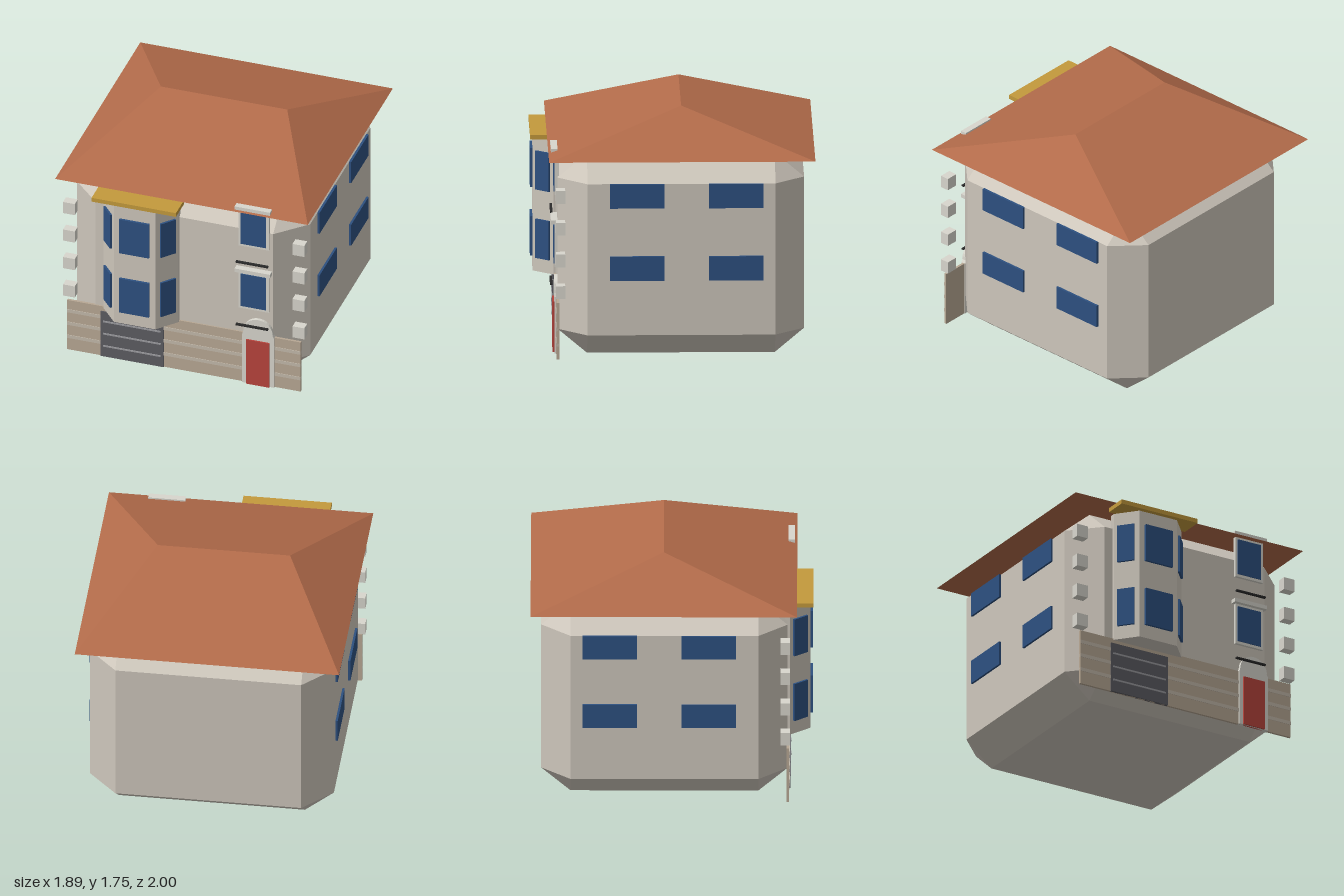
import * as THREE from 'three';
import { ConvexGeometry } from 'three/addons/geometries/ConvexGeometry.js';

const mat = (color) => new THREE.MeshStandardMaterial({ color });
const M = {
  wall: mat(0xcdc6bb), roof: mat(0xb26b4a), glass: mat(0x2d5080), stone: mat(0xd8d6cd),
  brick: mat(0xb8a894), band: mat(0xc4baab), door: mat(0xb8443c), garage: mat(0x5c5c62),
  rib: mat(0x9a9a9e), gold: mat(0xc49a3c), dark: mat(0x2a2a2a),
};

export function createModel() {
  const house = new THREE.Group();
  house.name = 'house';

  const add = (name, geometry, material, parent = house) => {
    const mesh = new THREE.Mesh(geometry, material);
    mesh.name = name;
    parent.add(mesh);
    return mesh;
  };
  // Box given by its extents on each axis
  const box = (name, material, x0, x1, y0, y1, z0, z1, parent) => {
    const mesh = add(name, new THREE.BoxGeometry(x1 - x0, y1 - y0, z1 - z0), material, parent);
    mesh.position.set((x0 + x1) / 2, (y0 + y1) / 2, (z0 + z1) / 2);
    return mesh;
  };

  // Main body: a box with every edge and corner chamfered
  const corners = [];
  for (const sx of [-1, 1]) for (const sy of [-1, 1]) for (const sz of [-1, 1]) {
    corners.push(
      new THREE.Vector3(sx * 0.87, sy * 0.55, sz * 0.665),
      new THREE.Vector3(sx * 0.663, sy * 0.725, sz * 0.665),
      new THREE.Vector3(sx * 0.663, sy * 0.55, sz * 0.872));
  }
  add('body', new ConvexGeometry(corners), M.wall).position.set(0, 0.725, -0.053);

  // Hipped roof
  const roof = [];
  for (const s of [-1, 1]) {
    roof.push(
      new THREE.Vector3(s * 0.943, 1.45, -1),
      new THREE.Vector3(s * 0.943, 1.45, 0.885),
      new THREE.Vector3(s * 0.472, 1.75, -0.058));
  }
  add('roof', new ConvexGeometry(roof), M.roof);

  // Ground floor facing with pale courses
  box('baseWall', M.brick, -0.872, 0.872, 0, 0.413, 0.812, 0.83);
  for (const y of [0.11, 0.22, 0.325]) {
    box('baseCourse', M.band, -0.872, 0.872, y - 0.013, y + 0.013, 0.815, 0.834);
  }

  // Garage door with ribs
  box('garageDoor', M.garage, -0.62, -0.15, 0, 0.375, 0.815, 0.838);
  for (const y of [0.09, 0.192, 0.295]) {
    box('garageRib', M.rib, -0.6, -0.17, y - 0.006, y + 0.006, 0.82, 0.843);
  }

  // Entrance: arched surround and door
  const arch = new THREE.Shape();
  arch.moveTo(0.44, 0);
  arch.lineTo(0.678, 0);
  arch.lineTo(0.678, 0.41);
  arch.lineTo(0.665, 0.435);
  arch.absarc(0.558, 0.435, 0.11, 0, Math.PI, false);
  arch.lineTo(0.44, 0.41);
  const archGeometry = new THREE.ExtrudeGeometry(arch, { depth: 0.035, bevelEnabled: false, curveSegments: 8 });
  add('doorSurround', archGeometry, M.stone).position.z = 0.808;
  box('frontDoor', M.door, 0.47, 0.645, 0, 0.37, 0.82, 0.854);

  // Bay: a canted plan extruded upwards
  const bay = new THREE.Group();
  bay.name = 'bay';
  bay.position.x = -0.317;
  house.add(bay);
  const plan = new THREE.Shape([[-0.28, -0.8], [0.28, -0.8], [0.28, -0.835], [0.155, -0.98],
    [-0.155, -0.98], [-0.28, -0.835]].map(([x, y]) => new THREE.Vector2(x, y)));
  const bayWall = add('bayWall',
    new THREE.ExtrudeGeometry(plan, { depth: 0.982, bevelEnabled: false }), M.wall, bay);
  bayWall.rotation.x = -Math.PI / 2;
  bayWall.position.y = 0.402;
  box('bayCornice', M.gold, -0.315, 0.315, 1.393, 1.425, 0.825, 1, bay);
  const cant = Math.atan2(0.145, 0.125);
  for (const [y0, y1] of [[0.502, 0.786], [1, 1.282]]) {
    box('bayFrontWindow', M.glass, -0.112, 0.112, y0, y1, 0.96, 0.998, bay);
    for (const s of [-1, 1]) {
      const pane = add('baySideWindow', new THREE.BoxGeometry(0.125, y1 - y0, 0.03), M.glass, bay);
      pane.position.set(s * 0.22, (y0 + y1) / 2, 0.906);
      pane.rotation.y = s * cant;
    }
  }

  // Framed windows above the entrance, with lintel and dark sill rail
  for (const [y0, y1, rail] of [[0.64, 0.91, 0.494], [1.163, 1.432, 1.02]]) {
    box('windowFrame', M.stone, 0.41, 0.637, y0 - 0.02, y1 + 0.02, 0.81, 0.84);
    box('windowGlass', M.glass, 0.427, 0.618, y0, y1, 0.815, 0.846);
    box('windowLintel', M.stone, 0.39, 0.655, y1 + 0.021, y1 + 0.05, 0.82, 0.867);
    box('sillRail', M.dark, 0.4, 0.64, rail - 0.006, rail + 0.006, 0.855, 0.873);
  }

  // Corner quoins and side windows, mirrored left and right
  for (const s of [-1, 1]) {
    for (const y of [0.495, 0.725, 0.957, 1.188]) {
      const quoin = add('quoin', new THREE.BoxGeometry(0.088, 0.093, 0.066), M.stone);
      quoin.position.set(s * 0.857, y, 0.803);
    }
    for (const y of [0.662, 1.188]) for (const z of [0.26, -0.44]) {
      const pane = add('sideWindow', new THREE.BoxGeometry(0.04, 0.176, 0.385), M.glass);
      pane.position.set(s * 0.866, y, z);
    }
  }
  return house;
}
